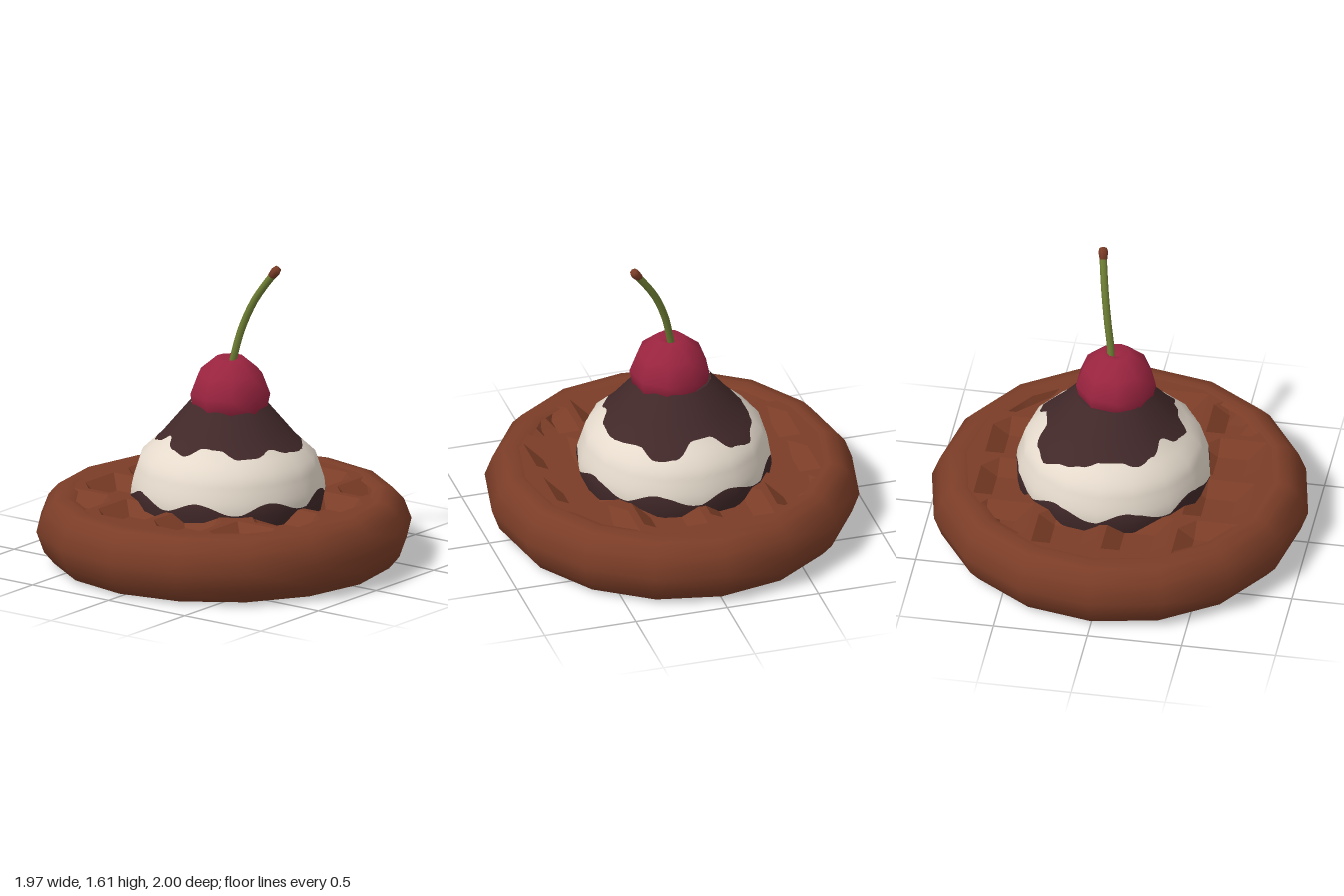
import * as THREE from 'three';
import { toCreasedNormals } from 'three/addons/utils/BufferGeometryUtils.js';

const SIDES = 16;
const mat = (name, color) => {
  const m = new THREE.MeshStandardMaterial({ color });
  m.name = name;
  return m;
};
const v2 = (list) => list.map(([x, y]) => new THREE.Vector2(x, y));

// radius of a 16-sided polygon at an angle, with a corner on each axis
function polyRadius(angle, r) {
  const step = (Math.PI * 2) / SIDES;
  const a = ((angle % step) + step) % step - step / 2;
  return (r * Math.cos(step / 2)) / Math.cos(a);
}

function buildGeometry(pos, idx, normals) {
  const g = new THREE.BufferGeometry();
  g.setAttribute('position', new THREE.Float32BufferAttribute(pos, 3));
  if (normals) g.setAttribute('normal', new THREE.Float32BufferAttribute(normals, 3));
  g.setIndex(idx);
  return g;
}

// waffle face: a square lattice with sloped pits, clamped to the round rim
function waffleFace() {
  const pitch = 0.37, depth = 0.065, limit = 0.83;
  const lines = [];
  for (let c = -3; c < 3; c++)
    for (const [o, inner] of [[-0.165, 0], [-0.08, 1], [0, 1], [0.08, 1], [0.165, 0]])
      lines.push([(c + 0.5) * pitch + o, inner]);
  const n = lines.length, pos = [], idx = [];
  for (const [z0, zi] of lines)
    for (const [x0, xi] of lines) {
      const a = Math.atan2(z0, x0), r = Math.hypot(x0, z0), max = polyRadius(a, limit);
      const k = r > max ? max / r : 1;
      pos.push(x0 * k, k === 1 && xi && zi ? -depth : 0, z0 * k);
    }
  for (let j = 0; j < n - 1; j++)
    for (let i = 0; i < n - 1; i++) {
      const a = j * n + i, b = a + 1, c = a + n, d = c + 1;
      // split each quad along the diagonal that follows the pit corners
      if ((pos[3 * a + 1] < 0) === (pos[3 * d + 1] < 0)) idx.push(a, c, d, a, d, b);
      else idx.push(a, c, d, a, d, b);
    }
  return toCreasedNormals(buildGeometry(pos, idx), 0.45);
}

// scoop outline: [height, radius]
const OUTLINE = [[0.29, 0.5], [0.37, 0.515], [0.42, 0.51], [0.57, 0.462], [0.67, 0.355], [0.86, 0.195]];
function lookup(v, from, to) {
  for (let i = 1; i < OUTLINE.length; i++) {
    const p = OUTLINE[i - 1], q = OUTLINE[i];
    const t = (v - p[from]) / (q[from] - p[from]);
    if ((t >= 0 || i === 1) && t <= 1) return p[to] + (q[to] - p[to]) * t;
  }
  return OUTLINE[OUTLINE.length - 1][to];
}
const radiusAt = (y) => lookup(y, 0, 1);

// reach of the poured sauce every 15 degrees, starting at +x toward +z
const REACH = [0.39, 0.36, 0.39, 0.39, 0.35, 0.345, 0.39, 0.375, 0.33, 0.37, 0.395, 0.37,
  0.37, 0.4, 0.42, 0.45, 0.43, 0.355, 0.355, 0.43, 0.44, 0.39, 0.4, 0.405];
function sauceEdge(angle) {
  const u = (angle / (Math.PI * 2)) * REACH.length, i = Math.floor(u);
  const t = (1 - Math.cos((u - i) * Math.PI)) / 2, n = REACH.length;
  const r = REACH[i % n] * (1 - t) + REACH[(i + 1) % n] * t;
  // invert the upper outline
  for (let y = 0.45; y < 0.86; y += 0.002) if (radiusAt(y) <= r) return y;
  return 0.86;
}
const poolEdge = (angle) => 0.395 + 0.028 * Math.cos(8 * (Math.PI / 2 - angle - 0.32));

// strip of the scoop surface between two heights that vary with the angle
function scoopBand(low, high) {
  const cols = 144, rows = 16, pos = [], nor = [], idx = [];
  for (let i = 0; i <= cols; i++) {
    const a = (i / cols) * Math.PI * 2, lo = low(a), hi = high(a);
    for (let j = 0; j <= rows; j++) {
      const y = lo + ((hi - lo) * j) / rows, r = polyRadius(a, radiusAt(y));
      const y0 = Math.max(0.29, y - 0.06), y1 = Math.min(0.86, y + 0.06);
      const n = new THREE.Vector3(Math.cos(a), (radiusAt(y0) - radiusAt(y1)) / (y1 - y0), Math.sin(a)).normalize();
      pos.push(Math.cos(a) * r, y, Math.sin(a) * r);
      nor.push(n.x, n.y, n.z);
      if (i < cols && j < rows) {
        const p = i * (rows + 1) + j, q = p + rows + 1;
        idx.push(p, p + 1, q, q, p + 1, q + 1);
      }
    }
  }
  return buildGeometry(pos, idx, nor);
}

export function createModel() {
  const model = new THREE.Group();
  model.name = 'waffleSundae';
  const waffleBrown = mat('waffle brown', 0x7b3d27);
  const cream = mat('cream', 0xe6dbcd);
  const sauce = mat('chocolate sauce', 0x412829);
  const cherryRed = mat('cherry red', 0x9b2440);
  const stemGreen = mat('stem green', 0x6c7c33);
  const add = (parent, name, geometry, material) => {
    const mesh = new THREE.Mesh(geometry, material);
    mesh.name = name;
    parent.add(mesh);
    return mesh;
  };

  // waffle: rounded rim with a pitted face above and below
  const waffle = new THREE.Group();
  waffle.name = 'waffle';
  waffle.scale.x = 0.985;
  model.add(waffle);
  const rim = v2([[0.79, 0.02], [0.84, 0], [0.905, 0.015], [0.96, 0.08], [1, 0.19],
    [0.96, 0.295], [0.905, 0.355], [0.84, 0.37], [0.79, 0.35]]);
  add(waffle, 'waffleRim', new THREE.LatheGeometry(rim, SIDES), waffleBrown);
  const face = waffleFace();
  add(waffle, 'waffleTop', face, waffleBrown).position.y = 0.36;
  const under = add(waffle, 'waffleUnderside', face, waffleBrown);
  under.rotation.x = Math.PI;
  under.position.y = 0.01;

  // scoop: sauce pool, cream and poured sauce
  const scoop = new THREE.Group();
  scoop.name = 'scoop';
  scoop.position.z = -0.035;
  model.add(scoop);
  add(scoop, 'saucePool', scoopBand(() => 0.29, poolEdge), sauce);
  add(scoop, 'creamScoop', scoopBand(poolEdge, sauceEdge), cream);
  add(scoop, 'sauceTopping', scoopBand(sauceEdge, () => 0.86), sauce);
  const cap = add(scoop, 'sauceCap', new THREE.CircleGeometry(0.195, SIDES), sauce);
  cap.rotation.x = -Math.PI / 2;
  cap.position.y = 0.85;

  // cherry with a dimple
  const cherryProfile = v2([[0, 0.7], [0.12, 0.73], [0.195, 0.82], [0.213, 0.91], [0.17, 1.02], [0.075, 1.1], [0, 1.07]]);
  const cherry = add(model, 'cherry', new THREE.LatheGeometry(cherryProfile, 9), cherryRed);
  cherry.position.set(0.02, 0, -0.025);

  // curved stem and its thicker tip
  const stemPath = new THREE.CatmullRomCurve3([
    [0.015, 1.05, -0.05], [0.03, 1.12, -0.055], [0.06, 1.25, -0.075],
    [0.12, 1.4, -0.1], [0.19, 1.51, -0.12], [0.232, 1.565, -0.13],
  ].map((p) => new THREE.Vector3(...p)));
  add(model, 'stem', new THREE.TubeGeometry(stemPath, 12, 0.02, 7), stemGreen);
  const tipProfile = v2([[0, -0.035], [0.021, -0.03], [0.026, 0.01], [0.02, 0.03], [0, 0.036]]);
  const tip = add(model, 'stemTip', new THREE.LatheGeometry(tipProfile, 7), waffleBrown);
  tip.position.set(0.235, 1.572, -0.13);
  tip.quaternion.setFromUnitVectors(new THREE.Vector3(0, 1, 0), stemPath.getTangent(1));
  return model;
}
